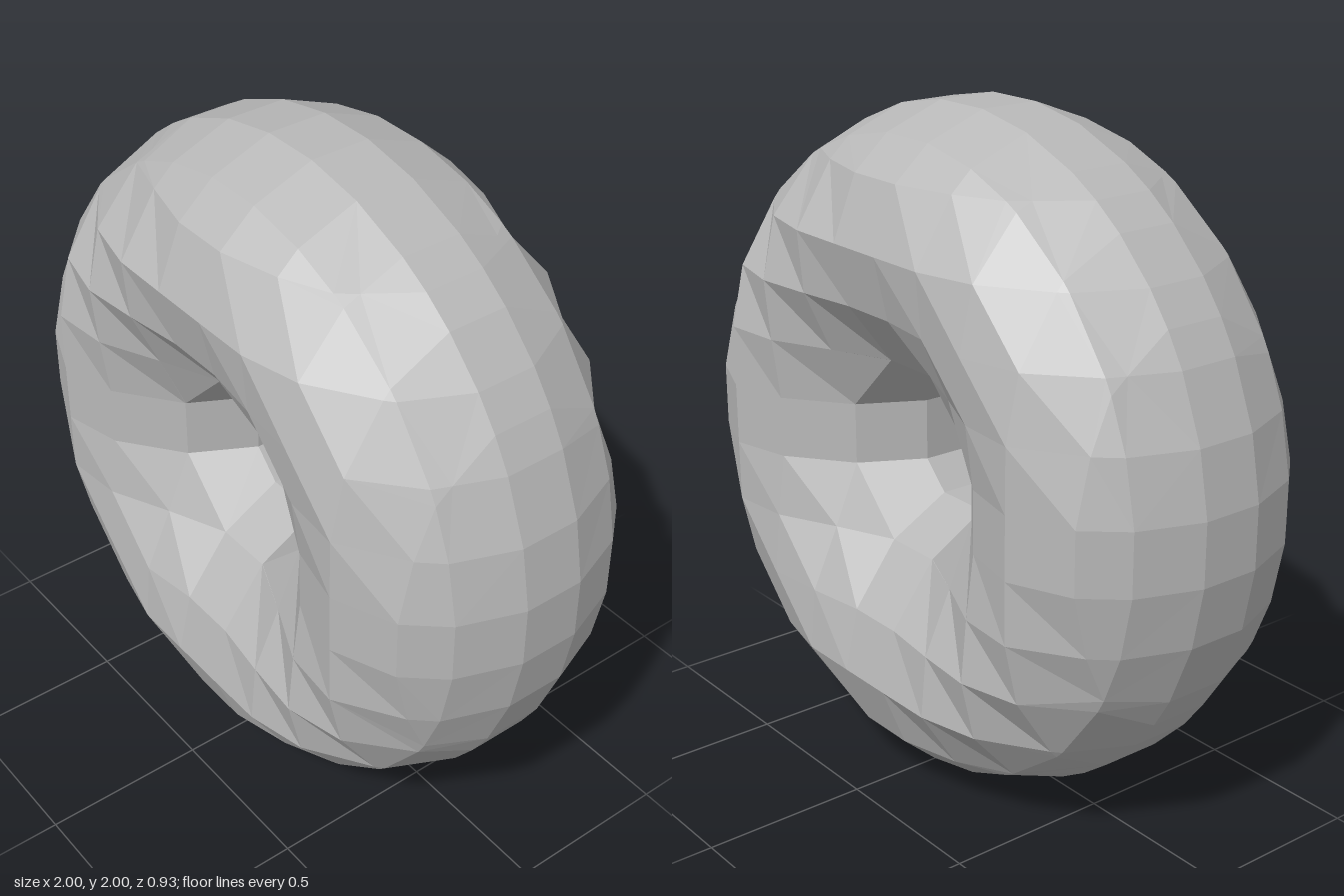
import * as THREE from 'three';

// Half-thickness of the ring (z) against distance from its axis
const PROFILE = [
  [0.194, 0], [0.199, 0.093], [0.295, 0.283], [0.473, 0.42], [0.54, 0.445], [0.656, 0.463],
  [0.706, 0.462], [0.798, 0.42], [0.841, 0.387], [0.935, 0.28], [1.004, 0.093], [1.007, 0],
];
const STEP = 0.1855;
const COUNT = [12, 12, 8];

function inside([x, y, z]) {
  const r = Math.hypot(x, y);
  for (let i = 1; i < PROFILE.length; i++) {
    const [r0, h0] = PROFILE[i - 1], [r1, h1] = PROFILE[i];
    if (r >= r0 && r < r1) return Math.abs(z) < h0 + (h1 - h0) * (r - r0) / (r1 - r0);
  }
  return false;
}

// Point where the surface crosses the line from an inner to an outer point
function crossing(a, b) {
  let lo = 0, hi = 1;
  const at = t => a.map((v, i) => v + (b[i] - v) * t);
  for (let i = 0; i < 16; i++) {
    const mid = (lo + hi) / 2;
    if (inside(at(mid))) lo = mid; else hi = mid;
  }
  return at(lo);
}

// The six faces of a grid cell, corners counter-clockwise from outside
const FACES = [];
for (let axis = 0; axis < 3; axis++) {
  for (const side of [0, 1]) {
    const face = [[0, 0], [1, 0], [1, 1], [0, 1]].map(([u, v]) =>
      (side << axis) | (u << ((axis + 1) % 3)) | (v << ((axis + 2) % 3)));
    FACES.push(side ? face : face.reverse());
  }
}

// Surface loops within one cell
function cellLoops(cell) {
  const corners = Array.from({ length: 8 }, (_, c) =>
    cell.map((n, i) => (n + ((c >> i) & 1) - (COUNT[i] - 1) / 2) * STEP));
  const solid = corners.map(inside);
  const next = new Map(), points = new Map();
  for (const face of FACES) {
    for (let i = 0; i < 4; i++) {
      const a = face[i], b = face[(i + 1) % 4];
      if (solid[a] || !solid[b]) continue;
      let j = i + 1;
      while (solid[face[(j + 1) % 4]]) j++;
      const c = face[j % 4], d = face[(j + 1) % 4];
      const enter = b * 8 + a, leave = c * 8 + d;
      next.set(enter, leave);
      points.set(enter, crossing(corners[b], corners[a]));
    }
  }
  const loops = [];
  while (next.size) {
    const loop = [];
    let key = next.keys().next().value;
    while (next.has(key)) {
      loop.push(points.get(key));
      const following = next.get(key);
      next.delete(key);
      key = following;
    }
    loops.push(loop);
  }
  return loops;
}

// Faceted ring sampled on a regular grid
function ringGeometry() {
  const positions = [];
  for (let i = 0; i < COUNT[0] - 1; i++)
    for (let j = 0; j < COUNT[1] - 1; j++)
      for (let k = 0; k < COUNT[2] - 1; k++)
        for (const loop of cellLoops([i, j, k]))
          for (let n = 1; n < loop.length - 1; n++)
            positions.push(...loop[0], ...loop[n], ...loop[n + 1]);
  const geometry = new THREE.BufferGeometry();
  geometry.setAttribute('position', new THREE.Float32BufferAttribute(positions, 3));
  geometry.computeVertexNormals();
  return geometry;
}

export function createModel() {
  const grey = new THREE.MeshStandardMaterial({ color: 0xb8b8b8, flatShading: true });
  grey.name = 'plain grey';
  const ring = new THREE.Mesh(ringGeometry(), grey);
  ring.name = 'ring';
  ring.position.y = 1;
  const model = new THREE.Group();
  model.name = 'facetedRing';
  model.add(ring);
  return model;
}
